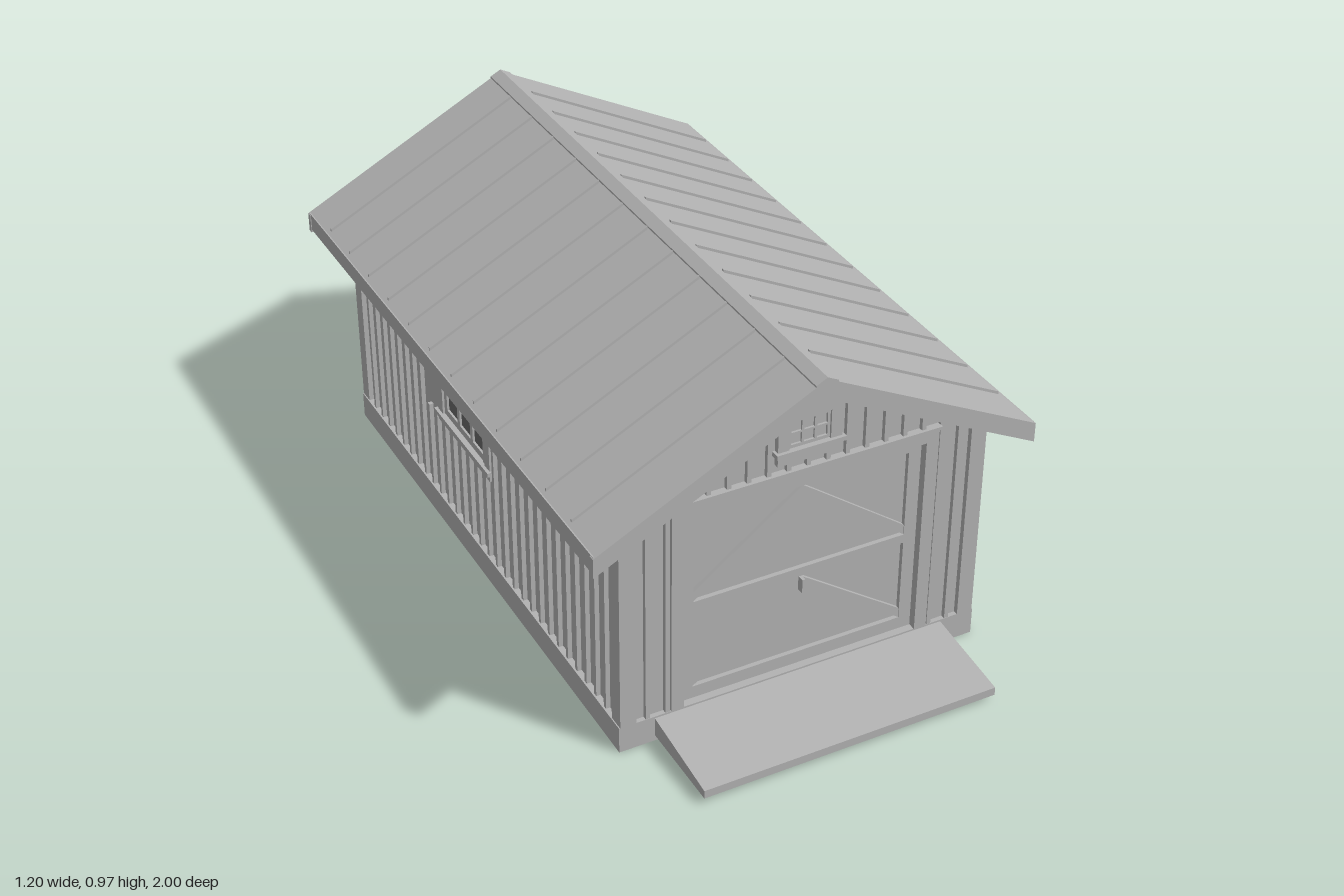
import * as THREE from 'three';

const siding = new THREE.MeshStandardMaterial({ color: 0xb2b2b2 });
siding.name = 'lightGrey';
const dark = new THREE.MeshStandardMaterial({ color: 0x686868 });
dark.name = 'darkGrey';

const SLOPE = 0.508;
const BASE = 0.075;
const roofTop = x => 0.965 - SLOPE * Math.abs(x);
const roofUnder = x => 0.93 - SLOPE * Math.abs(x);

function add(parent, name, geo, mat = siding) {
  const m = new THREE.Mesh(geo, mat);
  m.name = name;
  parent.add(m);
  return m;
}

// Box given by its limits on each axis
function box(parent, name, x0, x1, y0, y1, z0, z1, mat) {
  const g = new THREE.BoxGeometry(x1 - x0, y1 - y0, z1 - z0);
  g.translate((x0 + x1) / 2, (y0 + y1) / 2, (z0 + z1) / 2);
  return add(parent, name, g, mat);
}

// Flat polygon with optional holes, extruded from z0 to z1
function plate(parent, name, pts, z0, z1, holes = [], mat) {
  const vec = l => l.map(p => new THREE.Vector2(p[0], p[1]));
  const s = new THREE.Shape(vec(pts));
  for (const h of holes) s.holes.push(new THREE.Path(vec(h)));
  const g = new THREE.ExtrudeGeometry(s, { depth: z1 - z0, bevelEnabled: false });
  g.translate(0, 0, z0);
  return add(parent, name, g, mat);
}

const rect = (x0, x1, y0, y1) => [[x0, y0], [x1, y0], [x1, y1], [x0, y1]];

// Window on a wall whose face is z = 0: casing, sash with 3 x 2 panes, sill, header
function addWindow(wall, w) {
  const g = new THREE.Group();
  g.name = 'window';
  g.position.x = w.x;
  wall.add(g);
  const sash = rect(-w.inner, w.inner, w.sash0, w.sash1);
  plate(g, 'casing', rect(-w.half, w.half, w.y0, w.y1), 0, 0.015, [sash]);
  const panes = [];
  const mx = w.inner * 0.13, my = (w.sash1 - w.sash0) * 0.11, gap = mx * 0.9;
  const pw = (2 * w.inner - 2 * mx - 2 * gap) / 3;
  const ph = (w.sash1 - w.sash0 - 2.6 * my) / 2;
  for (let i = 0; i < 3; i++) for (let j = 0; j < 2; j++) {
    const x = -w.inner + mx + i * (pw + gap), y = w.sash0 + my + j * (ph + 0.6 * my);
    panes.push(rect(x, x + pw, y, y + ph));
  }
  plate(g, 'sash', sash, 0, 0.009, panes);
  box(g, 'glass', -w.inner, w.inner, w.sash0, w.sash1, 0, 0.003, w.glass);
  const lip = w.half + 0.007;
  box(g, 'sill', -lip, lip, w.sash0 - 0.012, w.sash0, 0, 0.024);
  box(g, 'header', -lip, lip, w.y1 - 0.002, w.y1 + 0.006, 0, 0.019);
}

// Board-and-batten cladding that stops at the openings
function cladWall(parent, name, half, topAt, openings) {
  const g = new THREE.Group();
  g.name = name;
  parent.add(g);
  const n = Math.floor((half - 0.05) / 0.0535);
  for (let i = -n; i <= n; i++) {
    const x = i * 0.0535, top = topAt(Math.abs(x) + 0.006);
    let spans = [[BASE, top]];
    for (const o of openings) {
      if (Math.abs(x - o.x) > o.half + 0.004) continue;
      spans = spans.flatMap(([a, b]) => [[a, Math.min(b, o.y0)], [Math.max(a, o.y1), b]]);
    }
    for (const [a, b] of spans) if (b - a > 0.004) box(g, 'batten', x - 0.006, x + 0.006, a, b, 0, 0.012);
  }
  // Corner boards
  for (const s of [-1, 1]) {
    const a = s * (half - 0.03), b = s * (half + 0.014);
    const pts = [[a, BASE], [b, BASE], [b, topAt(b)], [a, topAt(a)]];
    plate(g, 'cornerBoard', s > 0 ? pts : pts.reverse(), 0, 0.014);
  }
  for (const o of openings) if (o.sash0) addWindow(g, o);
  return g;
}

export function createModel() {
  const model = new THREE.Group();
  model.name = 'shed';

  // Foundation skirt and the floor inside it
  const skirt = plate(model, 'foundation', rect(-0.507, 0.507, -0.745, 0.925), 0, BASE,
    [rect(-0.49, 0.49, -0.728, 0.908)]);
  skirt.rotation.x = -Math.PI / 2;
  box(model, 'floor', -0.492, 0.492, 0.06, 0.066, -0.91, 0.73, dark);

  // Body shell
  const outline = [[-0.49, 0.066], [0.49, 0.066], [0.49, roofUnder(0.49)], [0, 0.93], [-0.49, roofUnder(0.49)]];
  plate(model, 'body', outline, -0.912, 0.712);
  plate(model, 'frontWall', outline, 0.712, 0.732, [rect(-0.33, 0.33, BASE, 0.645)]);

  // Clad walls with their windows
  const sideTop = () => roofUnder(0.5);
  const win = (x, dy = 0, half = 0.168, inner = 0.136) => ({
    x, half, inner, y0: 0.337 + dy, y1: 0.586 + dy, sash0: 0.37 + dy, sash1: 0.55 + dy, glass: dark });
  const vent = { x: 0, half: 0.087, inner: 0.056, y0: 0.708, y1: 0.862, sash0: 0.747, sash1: 0.827, glass: siding };
  const doorway = { x: 0, half: 0.365, y0: BASE, y1: 0.68 };
  cladWall(model, 'frontCladding', 0.49, roofUnder, [doorway, vent]).position.z = 0.732;
  const back = cladWall(model, 'backCladding', 0.49, roofUnder, [win(0, 0.015, 0.135, 0.105)]);
  back.position.z = -0.912;
  back.rotation.y = Math.PI;
  const left = cladWall(model, 'leftCladding', 0.821, sideTop, [win(-0.213 + -0.091 + 0.091), win(0.447)]);
  const right = cladWall(model, 'rightCladding', 0.821, sideTop, [win(-0.165)]);
  left.position.x = 0.49;
  left.rotation.y = Math.PI / 2;
  right.position.x = -0.49;
  right.rotation.y = -Math.PI / 2;
  // Side walls are centred slightly behind the origin
  for (const [wall, s] of [[left, 1], [right, -1]]) {
    wall.position.z = -0.091;
    for (const c of wall.children) if (c.name === 'window') c.position.x -= s * 0.091;
    for (const c of wall.children) if (c.name === 'batten') c.position.x = 0;
  }

  // Door with two braced panels
  const door = new THREE.Group();
  door.name = 'door';
  door.position.z = 0.712;
  model.add(door);
  const panels = [[0.11, 0.345], [0.37, 0.615]];
  plate(door, 'doorFrame', rect(-0.33, 0.33, BASE, 0.645), 0, 0.012,
    panels.map(([a, b]) => rect(-0.295, 0.295, a, b)));
  for (const [a, b] of panels) {
    plate(door, 'chevronBrace', [[-0.295, a], [0, b - 0.025], [0.295, a], [0.295, a + 0.028], [0, b],
      [-0.295, a + 0.028]], 0, 0.01);
  }
  box(door, 'handle', -0.004, 0.004, 0.305, 0.345, 0.01, 0.03);

  // Door surround
  plate(model, 'doorTrim', [[-0.365, BASE], [-0.33, BASE], [-0.33, 0.645], [0.33, 0.645], [0.33, BASE],
    [0.365, BASE], [0.365, 0.68], [-0.365, 0.68]], 0.73, 0.746);
  box(model, 'doorHeader', -0.37, 0.37, 0.678, 0.686, 0.73, 0.752);

  // Ramp, drawn as a side profile and swept across x
  const ramp = plate(model, 'ramp', [[-1, 0.017], [-0.745, 0.017], [-0.745, 0.07], [-1, 0.04]], -0.41, 0.41);
  ramp.rotation.y = Math.PI / 2;

  // Roof
  const roof = new THREE.Group();
  roof.name = 'roof';
  model.add(roof);
  const gable = (x, drop) => [[-x, roofTop(x) - drop], [0, 0.965 - drop], [x, roofTop(x) - drop],
    [x, roofTop(x)], [0, 0.965], [-x, roofTop(x)]];
  plate(roof, 'roofPanels', gable(0.595, 0.035), -0.99, 0.8);
  plate(roof, 'frontRakeBoard', gable(0.6, 0.054), 0.796, 0.812);
  plate(roof, 'backRakeBoard', gable(0.6, 0.054), -1, -0.984);
  const cap = 0.03;
  plate(roof, 'ridgeCap', [[-cap, roofTop(cap) - 0.003], [0, 0.962], [cap, roofTop(cap) - 0.003],
    [cap, roofTop(cap) + 0.005], [0, 0.97], [-cap, roofTop(cap) + 0.005]], -1, 0.812);
  for (const s of [-1, 1]) {
    box(roof, 'eaveBoard', s * 0.592 - 0.006, s * 0.592 + 0.006, 0.614, 0.663, -0.995, 0.808);
    // Standing seams
    for (let i = 0; i < 12; i++) {
      const z = -0.86 + i * 0.139;
      const pts = [[s * 0.033, roofTop(0.033) - 0.003], [s * 0.585, roofTop(0.585) - 0.003],
        [s * 0.585, roofTop(0.585) + 0.008], [s * 0.033, roofTop(0.033) + 0.008]];
      plate(roof, 'seam', s > 0 ? pts : pts.reverse(), z - 0.003, z + 0.003);
    }
  }
  return model;
}
